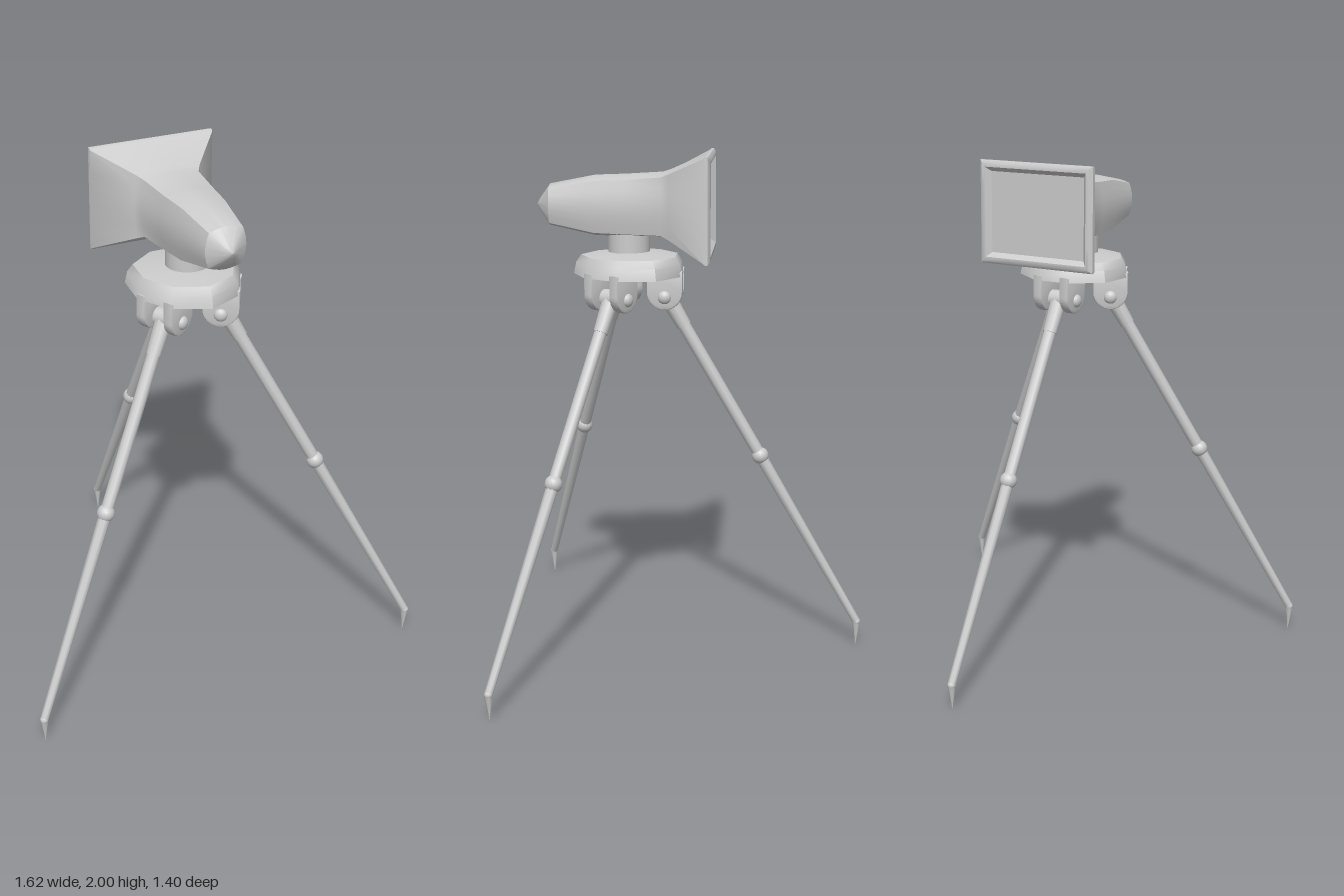
import * as THREE from 'three';
import { toCreasedNormals } from 'three/addons/utils/BufferGeometryUtils.js';

const material = new THREE.MeshStandardMaterial({ color: 0xcccccc });
const V = (x, y, z) => new THREE.Vector3(x, y, z);

function add(parent, name, geometry, position = V(0, 0, 0)) {
  const mesh = new THREE.Mesh(geometry, material);
  mesh.name = name;
  mesh.position.copy(position);
  parent.add(mesh);
  return mesh;
}

// Skin a list of closed rings with equal point counts
function loft(rings, crease) {
  const pos = [];
  const tri = (a, b, c) => {
    const area = b.clone().sub(a).cross(c.clone().sub(a)).length();
    if (area > 1e-9) pos.push(...a.toArray(), ...b.toArray(), ...c.toArray());
  };
  for (let i = 0; i + 1 < rings.length; i++) {
    const n = rings[i].length;
    for (let j = 0; j < n; j++) {
      const k = (j + 1) % n;
      tri(rings[i][j], rings[i + 1][j], rings[i][k]);
      tri(rings[i][k], rings[i + 1][j], rings[i + 1][k]);
    }
  }
  const g = new THREE.BufferGeometry();
  g.setAttribute('position', new THREE.Float32BufferAttribute(pos, 3));
  return toCreasedNormals(g, crease);
}

// Tapered round bar from a to b
function bar(parent, name, a, b, ra, rb, sides = 10) {
  const d = b.clone().sub(a);
  const geo = new THREE.CylinderGeometry(rb, ra, d.length(), sides);
  const mesh = add(parent, name, geo, a.clone().add(b).multiplyScalar(0.5));
  mesh.quaternion.setFromUnitVectors(V(0, 1, 0), d.normalize());
  return mesh;
}

// One leg, extending outward along local +z from the hub axis
function makeLeg() {
  const leg = new THREE.Group();
  const hinge = V(0, 1.45, 0.135), knee = V(0, 0.8, 0.512);
  const ankle = V(0, 0.1, 0.914), toe = V(0, 0, 0.912);
  const sleeveEnd = hinge.clone().lerp(knee, 0.19);

  const knuckle = add(leg, 'legKnuckle', new THREE.CylinderGeometry(0.036, 0.036, 0.06, 16), hinge);
  knuckle.rotation.z = Math.PI / 2;
  bar(leg, 'legSleeve', hinge, sleeveEnd, 0.034, 0.029);
  bar(leg, 'upperLeg', hinge, knee, 0.026, 0.024);
  add(leg, 'kneeJoint', new THREE.SphereGeometry(0.034, 14, 10), knee);
  bar(leg, 'lowerLeg', knee, ankle, 0.024, 0.016, 8);
  add(leg, 'ankle', new THREE.SphereGeometry(0.0165, 10, 8), ankle);
  bar(leg, 'footSpike', ankle, toe, 0.0165, 0.001, 8);

  // Round-bottomed cheeks either side of the hinge, with a domed pin
  const tab = new THREE.Shape();
  tab.moveTo(0.07, 0.08);
  tab.lineTo(-0.07, 0.08);
  tab.lineTo(-0.07, 0);
  tab.absarc(0, 0, 0.07, Math.PI, Math.PI * 2, false);
  tab.closePath();
  const cheekGeo = toCreasedNormals(new THREE.ExtrudeGeometry(tab, {
    depth: 0.024, curveSegments: 14, bevelEnabled: true,
    bevelThickness: 0.008, bevelSize: 0.008, bevelOffset: -0.008, bevelSegments: 2,
  }).translate(0, 0, -0.012).rotateY(Math.PI / 2), 0.7);
  for (const s of [-1, 1]) {
    add(leg, 'hingeCheek', cheekGeo, V(s * 0.06, 1.47, 0.135));
    const cap = add(leg, 'hingePinCap', new THREE.SphereGeometry(0.026, 14, 10), V(s * 0.079, 1.45, 0.135));
    cap.scale.x = 0.7;
  }
  bar(leg, 'hingePin', V(-0.075, 1.45, 0.135), V(0.075, 1.45, 0.135), 0.02, 0.02, 12);
  return leg;
}

// Nine-sided hub plate: two corners over every leg, one between legs
function hubGeometry() {
  const corners = [];
  for (const leg of [-90, 30, 150]) {
    corners.push([leg - 20, 0.215], [leg + 20, 0.215], [leg + 60, 0.226]);
  }
  const levels = [[1.55, 0], [1.55, 0.3], [1.53, 0.45], [1.53, 1], [1.575, 0.96], [1.605, 0.87], [1.62, 0.38], [1.62, 0]];
  return loft(levels.map(([y, s]) => corners.map(([deg, r]) => {
    const a = THREE.MathUtils.degToRad(deg);
    return V(Math.cos(a) * r * s, y, Math.sin(a) * r * s);
  })), 0.75);
}

// Head: rounded nose blending into a rectangular flared hood with a sunken screen
function headGeometry() {
  // z, half width, centre y, half height, squareness
  const sections = [
    [0.59, 0, 1.8, 0, 0],
    [0.575, 0.026, 1.8, 0.026, 0.1],
    [0.535, 0.08, 1.8, 0.08, 0.4],
    [0.36, 0.1, 1.798, 0.116, 0.5],
    [0.24, 0.112, 1.799, 0.119, 0.55],
    [0.1, 0.122, 1.803, 0.123, 0.65],
    [0.07, 0.138, 1.802, 0.133, 0.75],
    [-0.07, 0.25, 1.8, 0.194, 1],
    [-0.077, 0.25, 1.8, 0.2, 1],
    [-0.086, 0.25, 1.8, 0.2, 1],
    [-0.096, 0.236, 1.8, 0.188, 1],
    [-0.096, 0.224, 1.8, 0.174, 1],
    [-0.076, 0.206, 1.8, 0.157, 1],
    [-0.076, 0, 1.8, 0, 1],
  ];
  const n = 24;
  return loft(sections.map(([z, w, cy, h, k]) => Array.from({ length: n }, (_, i) => {
    const a = (i / n) * Math.PI * 2, c = Math.cos(a), s = Math.sin(a);
    const m = THREE.MathUtils.lerp(1, 1 / Math.max(Math.abs(c), Math.abs(s)), k);
    return V(c * m * w, cy + s * m * h, z);
  })), 0.75);
}

export function createModel() {
  const model = new THREE.Group();
  model.name = 'tripodDevice';

  const tripod = new THREE.Group();
  tripod.name = 'tripod';
  tripod.position.z = 0.224;
  model.add(tripod);

  const legs = { backLeg: Math.PI, frontLeftLeg: Math.PI / 3, frontRightLeg: -Math.PI / 3 };
  for (const [name, angle] of Object.entries(legs)) {
    const leg = makeLeg();
    leg.name = name;
    leg.rotation.y = angle;
    tripod.add(leg);
  }
  add(tripod, 'hubPlate', hubGeometry());
  add(tripod, 'neck', new THREE.CylinderGeometry(0.081, 0.081, 0.12, 20), V(0, 1.67, 0.008));

  add(model, 'head', headGeometry());
  return model;
}
